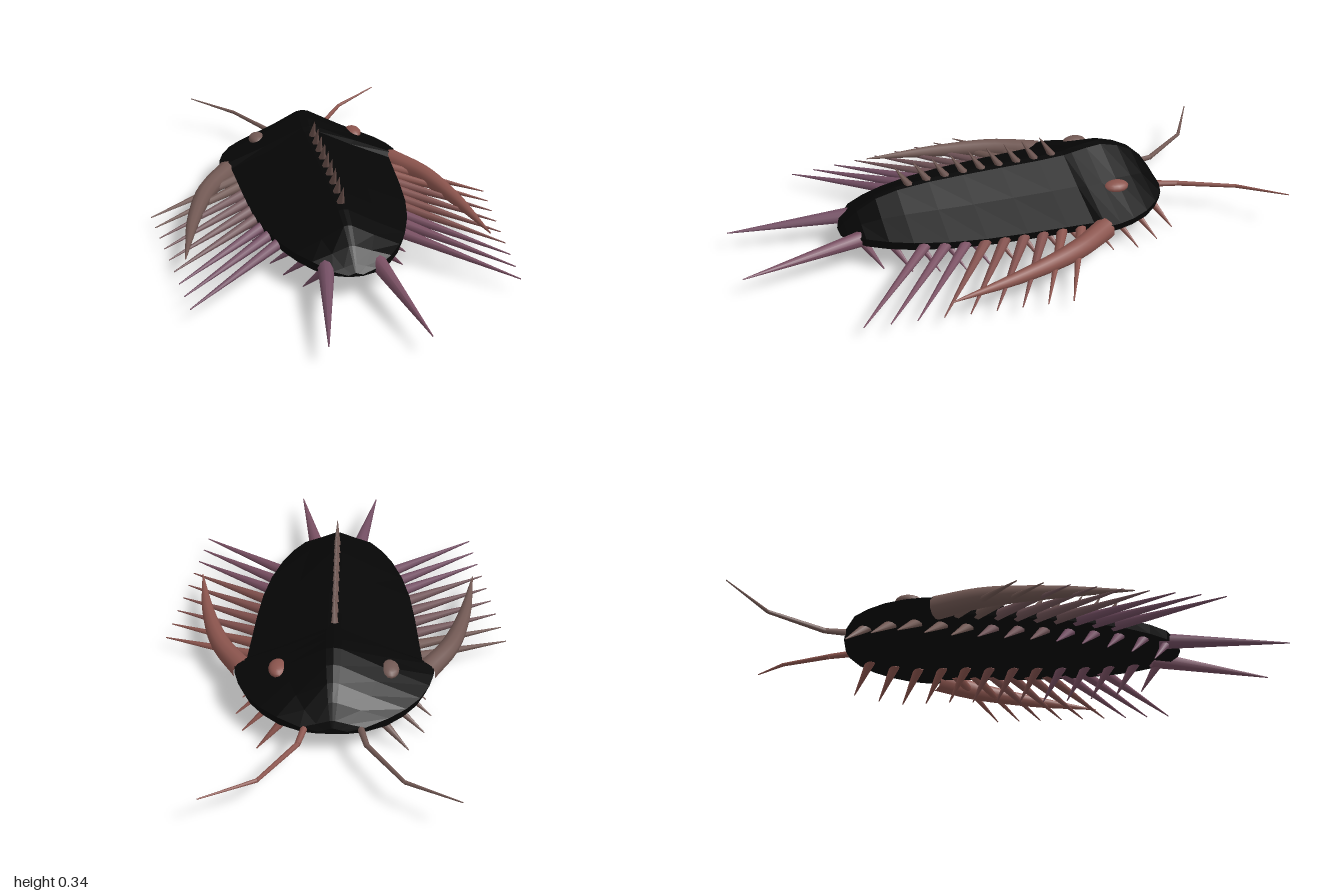
import * as THREE from 'three';

const mat = (name, color) => {
  const m = new THREE.MeshStandardMaterial({ color });
  m.name = name;
  return m;
};
const shell = mat('black shell', 0x060606);
const ridge = mat('dusky brown', 0x6b524d);
// Limb colours run from head to tail, a little redder on the +x side
const bands = {
  1: [mat('rust red', 0x8c554e), mat('dull rose', 0x83524f), mat('plum', 0x7b5164)],
  '-1': [mat('grey brown', 0x725954), mat('mauve brown', 0x725559), mat('muted plum', 0x744f64)],
};
const limbMat = (side, z) => bands[side][z < -0.12 ? 0 : z < 0.17 ? 1 : 2];

const V = (x, y, z) => new THREE.Vector3(x, y, z);

// Piecewise linear lookup in [z, value] pairs
function lookup(table, z) {
  for (let i = 1; i < table.length; i++) {
    const [z0, a] = table[i - 1], [z1, b] = table[i];
    if (z <= z1) return a + (b - a) * Math.max(0, (z - z0) / (z1 - z0));
  }
  return table[table.length - 1][1];
}

// z, half width, ridge height
const sections = [
  [-0.625, 0.05, 0.115], [-0.615, 0.11, 0.14], [-0.58, 0.19, 0.19], [-0.53, 0.25, 0.235],
  [-0.47, 0.30, 0.265], [-0.4, 0.335, 0.285], [-0.34, 0.352, 0.28], [-0.28, 0.357, 0.27],
  [-0.25, 0.315, 0.263], [-0.15, 0.308, 0.258], [0, 0.298, 0.256], [0.15, 0.283, 0.253],
  [0.28, 0.258, 0.248], [0.4, 0.22, 0.235], [0.48, 0.182, 0.213], [0.55, 0.135, 0.172],
  [0.6, 0.075, 0.13], [0.618, 0.025, 0.105],
];
const widths = sections.map(s => [s[0], s[1]]);
const heights = sections.map(s => [s[0], s[2]]);

// Shell lofted through roof-shaped cross-sections
function shellGeometry() {
  const pos = [], idx = [];
  const floor = 0.092;
  for (const [z, w, top] of sections) {
    const edge = floor + Math.min(0.033, (top - floor) * 0.4);
    const half = [[0.08, 0.97], [0.5, 0.5], [1, 0]].map(([u, v]) => [u * w, edge + (top - edge) * v]);
    half.push([w * 0.96, floor]);
    const ring = [[0, top], ...half, ...half.slice().reverse().map(([x, y]) => [-x, y])];
    for (const [x, y] of ring) pos.push(x, y, z);
  }
  const n = 9, last = sections.length - 1;
  for (let i = 0; i < last; i++) {
    for (let j = 0; j < n; j++) {
      const a = i * n + j, b = i * n + (j + 1) % n;
      idx.push(a, a + n, b, b, a + n, b + n);
    }
  }
  for (let j = 1; j < n - 1; j++) {
    idx.push(0, j, j + 1);
    idx.push(last * n, last * n + j + 1, last * n + j);
  }
  const g = new THREE.BufferGeometry();
  g.setAttribute('position', new THREE.Float32BufferAttribute(pos, 3));
  g.setIndex(idx);
  const flat = g.toNonIndexed();
  flat.computeVertexNormals();
  return flat;
}

// Straight tapered spike from a to b
function spike(name, a, b, r0, r1, material, sides = 8) {
  const dir = b.clone().sub(a);
  const m = new THREE.Mesh(new THREE.CylinderGeometry(r1, r0, dir.length(), sides), material);
  m.position.copy(a).add(b).multiplyScalar(0.5);
  m.quaternion.setFromUnitVectors(V(0, 1, 0), dir.normalize());
  m.name = name;
  return m;
}

// Curved tube whose radius follows the given list
function taperedTube(points, radii, steps = 16, sides = 10) {
  const curve = new THREE.CatmullRomCurve3(points);
  const g = new THREE.TubeGeometry(curve, steps, 1, sides);
  const p = g.attributes.position, v = V(0, 0, 0);
  const table = radii.map((r, i) => [i / (radii.length - 1), r]);
  for (let i = 0; i < p.count; i++) {
    const t = Math.floor(i / (sides + 1)) / steps;
    const c = curve.getPointAt(t);
    v.fromBufferAttribute(p, i).sub(c).multiplyScalar(lookup(table, t)).add(c);
    p.setXYZ(i, v.x, v.y, v.z);
  }
  return g;
}

export function createModel() {
  const model = new THREE.Group();
  model.name = 'armouredArthropod';

  const body = new THREE.Mesh(shellGeometry(), shell);
  body.name = 'shell';
  model.add(body);

  // Row of back spines, leaning to the tail
  for (let i = 0; i < 9; i++) {
    const z = -0.215 + i * 0.07, y = lookup(heights, z);
    model.add(spike('backSpine', V(0, y - 0.012, z), V(0, y + 0.076, z + 0.056), 0.016, 0.001, ridge, 6));
  }

  for (const s of [1, -1]) {
    // Eyes
    const eye = new THREE.Mesh(new THREE.SphereGeometry(1, 14, 10), bands[s][0]);
    eye.scale.set(0.034, 0.022, 0.048);
    eye.position.set(s * 0.194, 0.187, -0.39);
    eye.name = 'eye';
    model.add(eye);

    // Antennae in three joints
    const joints = [V(s * 0.09, 0.105, -0.59), V(s * 0.115, 0.1, -0.69), V(s * 0.235, 0.113, -0.88), V(s * 0.41, 0.143, -1)];
    const thick = [0.013, 0.010, 0.007, 0.002];
    for (let i = 0; i < 3; i++) {
      model.add(spike('antenna', joints[i], joints[i + 1], thick[i], thick[i + 1], bands[s][0]));
    }

    // Long cheek spines sweeping back from the head
    const cheek = new THREE.Mesh(taperedTube(
      [V(s * 0.325, 0.1, -0.29), V(s * 0.42, 0.097, -0.135), V(s * 0.49, 0.088, 0.08), V(s * 0.545, 0.076, 0.37)],
      [0.042, 0.034, 0.021, 0.002]), bands[s][0]);
    cheek.name = 'cheekSpine';
    model.add(cheek);

    // Side spines, one per body segment
    for (let i = 0; i < 9; i++) {
      const z = -0.215 + i * 0.07;
      const root = V(s * (lookup(widths, z) - 0.035), 0.107, z);
      const tip = V(s * (0.642 - i * 0.011), 0.05 + i * 0.001, -0.03 + i * 0.088);
      model.add(spike('sideSpine', root, tip, 0.021, 0.002, limbMat(s, z)));
    }

    // Walking legs under the body
    for (let i = 0; i < 13; i++) {
      const z = -0.535 + i * 0.0915, w = lookup(widths, z);
      const root = V(s * (w * 0.52 + 0.02), 0.105, z);
      const tip = V(s * (w * 0.82 + 0.06), 0.003, z - 0.066);
      model.add(spike('leg', root, tip, 0.02, 0.002, limbMat(s, z)));
    }

    // Tail prongs
    model.add(spike('tailProng', V(s * 0.085, 0.105, 0.53), V(s * 0.162, 0.075, 0.995), 0.031, 0.002, bands[s][2], 10));
  }
  return model;
}
